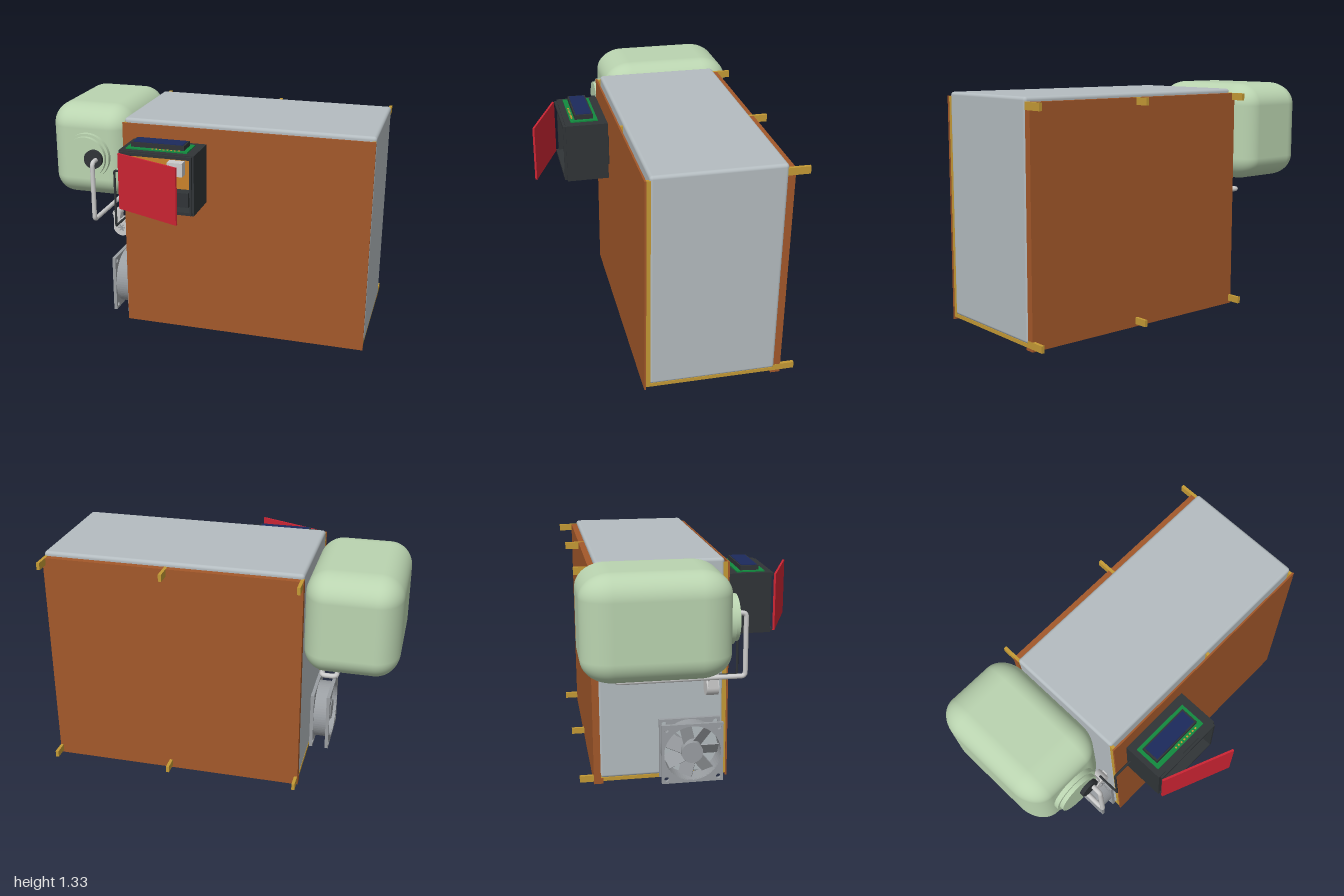
import * as THREE from 'three';
import { RoundedBoxGeometry } from 'three/addons/geometries/RoundedBoxGeometry.js';

const mat = (color) => new THREE.MeshStandardMaterial({ color });
const GREY = mat(0xcccccc), SHELL = mat(0xb4bcc0), BROWN = mat(0xa3582a), GOLD = mat(0xc49a35),
  GREEN = mat(0xbad4b0), BLACK = mat(0x303437), RED = mat(0xcc2433), PCB = mat(0x128a3e),
  BLUE = mat(0x1c2a5c), ORANGE = mat(0xc9822b), FAN = mat(0x9a9ea2);

export function createModel() {
  const root = new THREE.Group();

  const add = (name, geo, material, parent = root) => {
    const m = new THREE.Mesh(geo, material);
    m.name = name;
    parent.add(m);
    return m;
  };
  // Box given by its extents on each axis
  const box = (name, material, [x0, x1], [y0, y1], [z0, z1], parent = root, r = 0) => {
    const s = [x1 - x0, y1 - y0, z1 - z0];
    const m = add(name, r ? new RoundedBoxGeometry(...s, 4, r) : new THREE.BoxGeometry(...s), material, parent);
    m.position.set((x0 + x1) / 2, (y0 + y1) / 2, (z0 + z1) / 2);
    return m;
  };
  // Cylinder along z
  const disc = (name, material, r, x, y, z0, z1, parent = root) => {
    const m = add(name, new THREE.CylinderGeometry(r, r, z1 - z0, 40).rotateX(Math.PI / 2), material, parent);
    m.position.set(x, y, (z0 + z1) / 2);
    return m;
  };
  // Tube following straight runs with small rounded bends
  const pipe = (name, material, pts, r, bend) => {
    const v = pts.map((p) => new THREE.Vector3(...p));
    const path = new THREE.CurvePath();
    let from = v[0];
    for (let i = 1; i < v.length - 1; i++) {
      const a = v[i].clone().add(v[i - 1].clone().sub(v[i]).setLength(bend));
      const b = v[i].clone().add(v[i + 1].clone().sub(v[i]).setLength(bend));
      path.add(new THREE.LineCurve3(from, a));
      path.add(new THREE.QuadraticBezierCurve3(a, v[i], b));
      from = b;
    }
    path.add(new THREE.LineCurve3(from, v[v.length - 1]));
    const m = add(name, new THREE.TubeGeometry(path, 200, r, 12), material);
    m.material = material.clone();
    m.material.side = THREE.DoubleSide;
  };

  // Cabinet: grey shell between a front and a back panel
  box('cabinetShell', SHELL, [-0.475, 0.995], [0.033, 1.297], [-0.54, 0.178], root, 0.018);
  box('frontPanel', BROWN, [-0.477, 0.995], [0, 1.275], [0.195, 0.205]);
  box('backPanel', BROWN, [-0.477, 0.99], [0, 1.272], [-0.575, -0.535]);
  box('backPanelFoot', BROWN, [-0.477, 0.99], [0, 0.034], [-0.54, -0.52]);

  // Three frames with pegs sticking out of the back
  for (const x of [-0.465, 0.285, 0.982]) {
    const frame = new THREE.Group();
    frame.name = 'frame';
    root.add(frame);
    const w = [x - 0.009, x + 0.009];
    box('bottomRail', GOLD, w, [0.015, 0.036], [-0.54, 0.195], frame);
    box('frontPost', GOLD, w, [0.015, 1.273], [0.17, 0.196], frame);
    box('lowerPeg', GOLD, w, [0.015, 0.053], [-0.655, -0.53], frame);
    box('upperPeg', GOLD, w, [1.232, 1.273], [-0.655, -0.53], frame);
  }
  box('frontBottomRail', GOLD, [-0.47, 0.99], [0.015, 0.035], [0.175, 0.196]);

  // Water tank with stepped cap, outlet and pipe
  const tank = add('tank', new RoundedBoxGeometry(0.52, 0.575, 0.61, 8, 0.13), GREEN);
  tank.scale.z = 0.79 / 0.61;
  tank.position.set(-0.74, 1.0375, -0.265);
  disc('tankCapBase', GREEN, 0.143, -0.735, 1.03, 0.1, 0.157);
  disc('tankCap', GREEN, 0.127, -0.735, 1.03, 0.15, 0.182);
  disc('outlet', BLACK, 0.057, -0.675, 1.03, 0.18, 0.207);
  pipe('waterPipe', GREY, [[-0.655, 1.03, 0.2], [-0.655, 1.03, 0.26], [-0.655, 0.67, 0.26],
    [-0.655, 0.67, -0.45], [-0.572, 0.67, -0.45], [-0.572, 0.67, 0.1]], 0.014, 0.025);

  // Pump: round body with an inlet arm and a screw cross
  disc('pumpBody', GREY, 0.053, -0.535, 0.582, 0.06, 0.13);
  disc('pumpInlet', GREY, 0.026, -0.568, 0.668, 0.07, 0.125);
  box('pumpArm', GREY, [-0.588, -0.545], [0.582, 0.668], [0.07, 0.125]);
  box('pumpOutlet', GREY, [-0.535, -0.474], [0.57, 0.596], [0.08, 0.115]);
  for (const a of [0, 1, 2]) {
    const bar = add('pumpRib', new THREE.BoxGeometry(0.045, 0.006, 0.01), FAN);
    bar.position.set(-0.535, 0.582, 0.132);
    bar.rotation.z = (a * Math.PI) / 3;
  }
  pipe('cable', BLACK, [[-0.39, 0.988, 0.245], [-0.522, 0.988, 0.245], [-0.522, 0.638, 0.245],
    [-0.522, 0.638, 0.1]], 0.007, 0.008);

  // Fan on the side wall, built along z and turned to face -x
  const fan = new THREE.Group();
  fan.name = 'fan';
  fan.position.set(-0.537, 0.202, -0.02);
  fan.rotation.y = -Math.PI / 2;
  root.add(fan);
  const plate = new THREE.Shape();
  const h = 0.177;
  plate.moveTo(-h, -h).lineTo(h, -h).lineTo(h, h).lineTo(-h, h).closePath();
  const hole = (x, y, r) => plate.holes.push(new THREE.Path().absarc(x, y, r, 0, Math.PI * 2, true));
  hole(0, 0, 0.164);
  for (const sx of [-1, 1]) for (const sy of [-1, 1]) hole(sx * 0.15, sy * 0.15, 0.014);
  for (const z of [-0.058, 0.038]) {
    add('fanFlange', new THREE.ExtrudeGeometry(plate, { depth: 0.02, bevelEnabled: false, curveSegments: 32 }),
      FAN, fan).position.z = z;
  }
  const duct = new THREE.Shape().absarc(0, 0, 0.172, 0, Math.PI * 2, false);
  duct.holes.push(new THREE.Path().absarc(0, 0, 0.163, 0, Math.PI * 2, true));
  add('fanDuct', new THREE.ExtrudeGeometry(duct, { depth: 0.1, bevelEnabled: false, curveSegments: 32 }),
    FAN, fan).position.z = -0.05;
  disc('fanHub', FAN, 0.062, 0, 0, -0.045, 0.05, fan);
  for (let i = 0; i < 7; i++) {
    const arm = new THREE.Group();
    arm.name = 'fanBladeArm';
    arm.rotation.z = (i * Math.PI * 2) / 7;
    fan.add(arm);
    const blade = add('fanBlade', new THREE.BoxGeometry(0.105, 0.085, 0.006), FAN, arm);
    blade.position.x = 0.105;
    blade.rotation.x = 0.6;
  }
  for (let i = 0; i < 4; i++) {
    const arm = new THREE.Group();
    arm.name = 'fanStrutArm';
    arm.rotation.z = Math.PI / 4 + (i * Math.PI) / 2;
    fan.add(arm);
    box('fanStrut', FAN, [0.05, 0.168], [-0.006, 0.006], [-0.057, -0.047], arm);
  }

  // Control case: open front, door ajar, parts inside
  const ctrl = new THREE.Group();
  ctrl.name = 'controlCase';
  root.add(ctrl);
  box('caseMount', BLACK, [-0.22, -0.02], [0.9, 1.08], [0.2, 0.208], ctrl);
  disc('mountKnob', RED, 0.06, -0.12, 1.01, 0.205, 0.221, ctrl);
  box('caseBack', BLACK, [-0.4, 0.04], [0.84, 1.19], [0.22, 0.235], ctrl);
  box('caseBottom', BLACK, [-0.4, 0.04], [0.84, 0.862], [0.23, 0.465], ctrl);
  box('caseTop', BLACK, [-0.4, 0.04], [1.168, 1.19], [0.23, 0.465], ctrl);
  box('caseLeftWall', BLACK, [0.018, 0.04], [0.86, 1.17], [0.23, 0.465], ctrl);
  box('caseRightWall', BLACK, [-0.4, -0.378], [0.86, 1.17], [0.23, 0.465], ctrl);
  box('caseLipBottom', BLACK, [-0.39, 0.03], [0.845, 0.862], [0.46, 0.48], ctrl);
  box('caseLipTop', BLACK, [-0.39, 0.03], [1.168, 1.185], [0.46, 0.48], ctrl);
  box('caseLipSide', BLACK, [0.018, 0.03], [0.86, 1.17], [0.46, 0.48], ctrl);
  box('innerBoard', ORANGE, [-0.37, 0.014], [0.865, 1.165], [0.33, 0.345], ctrl);
  box('powerUnit', GREY, [-0.14, -0.05], [1.04, 1.12], [0.345, 0.4], ctrl);
  box('relayBlock', BLACK, [-0.2, -0.012], [0.865, 0.95], [0.345, 0.41], ctrl);
  const hinge = new THREE.Group();
  hinge.name = 'doorHinge';
  hinge.position.set(-0.395, 0, 0.486);
  hinge.rotation.y = -0.39;
  ctrl.add(hinge);
  box('door', RED, [0, 0.425], [0.85, 1.178], [-0.006, 0.006], hinge);

  // Display on top of the case
  box('displayBoard', PCB, [-0.37, -0.01], [1.188, 1.197], [0.27, 0.43], ctrl);
  box('displayBezel', BLACK, [-0.35, -0.035], [1.195, 1.224], [0.295, 0.402], ctrl);
  box('displayScreen', BLUE, [-0.34, -0.045], [1.215, 1.227], [0.303, 0.394], ctrl);
  for (let i = 0; i < 8; i++) {
    const x = -0.22 + i * 0.022;
    box('displayPin', GOLD, [x, x + 0.01], [1.195, 1.2], [0.412, 0.422], ctrl);
  }
  return root;
}
